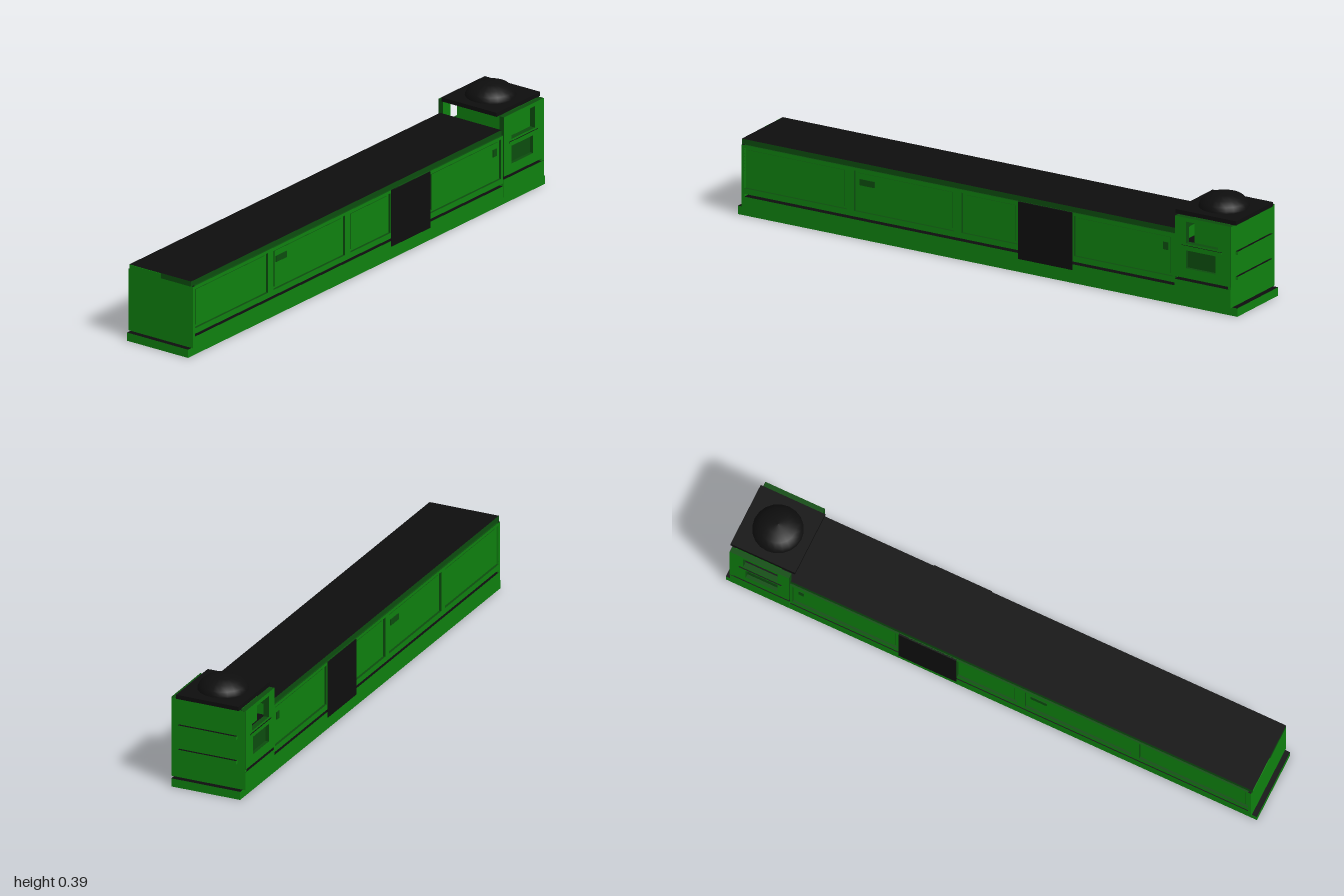
import * as THREE from 'three';

export function createModel() {
  const model = new THREE.Group();
  model.name = 'longCarriage';
  const green = new THREE.MeshStandardMaterial({ name: 'green paint', color: 0x0f800f });
  const dark = new THREE.MeshStandardMaterial({ name: 'dark green', color: 0x0c4c0e });
  const black = new THREE.MeshStandardMaterial({ name: 'black', color: 0x0e0e0e });

  const add = (name, geometry, material) => {
    const mesh = new THREE.Mesh(geometry, material);
    mesh.name = name;
    model.add(mesh);
    return mesh;
  };
  // Box given by its limits
  const box = (name, x0, x1, y0, y1, z0, z1, material) => {
    const g = new THREE.BoxGeometry(x1 - x0, y1 - y0, z1 - z0);
    g.translate((x0 + x1) / 2, (y0 + y1) / 2, (z0 + z1) / 2);
    return add(name, g, material);
  };
  // Painted walls with black tops and undersides
  const capped = (wall) => [wall, wall, black, black, wall, wall];
  const rect = (Type, z0, z1, y0, y1) => {
    const p = new Type();
    p.moveTo(-z1, y0);
    p.lineTo(-z0, y0);
    p.lineTo(-z0, y1);
    p.lineTo(-z1, y1);
    p.closePath();
    return p;
  };
  // Side wall with rectangular openings, thickness along x
  const wall = (name, x, depth, limits, holes, mats) => {
    const shape = rect(THREE.Shape, ...limits);
    for (const h of holes) shape.holes.push(rect(THREE.Path, ...h));
    const g = new THREE.ExtrudeGeometry(shape, { depth, bevelEnabled: false });
    g.rotateY(Math.PI / 2);
    g.translate(x, 0, 0);
    return add(name, g, mats);
  };

  // Base and lower skirt
  box('base', -0.13, 0.13, 0, 0.03, -1, 1, capped(green));
  box('skirt', -0.137, 0.137, 0.03, 0.07, -0.755, 0.98, capped(green));

  // Long body, with a narrow slit left above the skirt
  box('bodyCore', -0.128, 0.128, 0.08, 0.2545, -0.755, 0.97, capped(green));
  box('frontWall', -0.137, 0.137, 0.0305, 0.255, 0.97, 0.981, capped(green));
  box('roof', -0.131, 0.131, 0.255, 0.274, -0.755, 0.984, capped(dark));
  box('roofFrontPaint', -0.13, 0, 0.256, 0.273, 0.983, 0.986, green);

  const panels = [[0.56, 0.97], [0.13, 0.53], [-0.125, 0.10], [-0.745, -0.35]];
  for (const side of [-1, 1]) {
    const label = side > 0 ? 'left' : 'right';
    const inner = (outer, depth) => (side > 0 ? outer - depth : -outer);
    const plate = (name, x, t, y0, y1, z0, z1, m) =>
      box(label + name, inner(x, t), inner(x, t) + t, y0, y1, z0, z1, m);

    // Framed panels along the body
    wall(label + 'PanelFrame', inner(0.137, 0.012), 0.012, [-0.755, 0.971, 0.08, 0.255],
      panels.map(([a, b]) => [a, b, 0.1, 0.245]), [green, dark]);
    for (const [a, b] of panels)
      plate('Panel', 0.131, 0.005, 0.108, 0.237, a + 0.012, b - 0.012, [green, green, dark, dark, dark, dark]);

    // Door and small vents
    plate('Door', 0.14, 0.006, 0.05, 0.255, -0.345, -0.128, black);
    const vent = side > 0 ? 0.48 : 0.18;
    plate('Vent', 0.134, 0.005, 0.195, 0.217, vent - 0.03, vent + 0.03, dark);
    plate('SmallVent', 0.134, 0.005, 0.19, 0.217, -0.725, -0.705, dark);

    // Cabin side with window opening and lower recess
    wall(label + 'CabinSide', inner(0.14, 0.02), 0.02, [-0.98, -0.757, 0.105, 0.322],
      [[-0.93, -0.8, 0.23, 0.308], [-0.92, -0.8, 0.14, 0.205]], [green, dark]);
    plate('CabinLowerPanel', 0.127, 0.006, 0.13, 0.215, -0.94, -0.79, dark);
    plate('WindowLedge', 0.144, 0.006, 0.217, 0.223, -0.945, -0.785, capped(green));
  }

  // Cabin
  box('cabinSkirt', -0.14, 0.14, 0.03, 0.095, -0.98, -0.755, capped(green));
  box('cabinLowerCore', -0.122, 0.122, 0.105, 0.215, -0.975, -0.757, capped(green));
  box('cabinInterior', -0.1, 0.1, 0.21, 0.322, -0.975, -0.81, capped(green));
  box('cabinBackWall', -0.139, 0.139, 0.09, 0.3215, -0.981, -0.968, capped(green));
  for (const y of [0.13, 0.22])
    box('backRail', -0.11, 0.11, y - 0.006, y + 0.006, -0.99, -0.98, capped(green));
  box('cabinRoof', -0.118, 0.118, 0.322, 0.337, -0.988, -0.745, black);

  // Low dome on the cabin roof
  const profile = [[0.088, 0], [0.087, 0.007], [0.081, 0.019], [0.064, 0.035], [0.035, 0.046], [0, 0.05]]
    .map(([r, y]) => new THREE.Vector2(r, y));
  add('roofDome', new THREE.LatheGeometry(profile, 20), black).position.set(0, 0.337, -0.866);

  return model;
}
